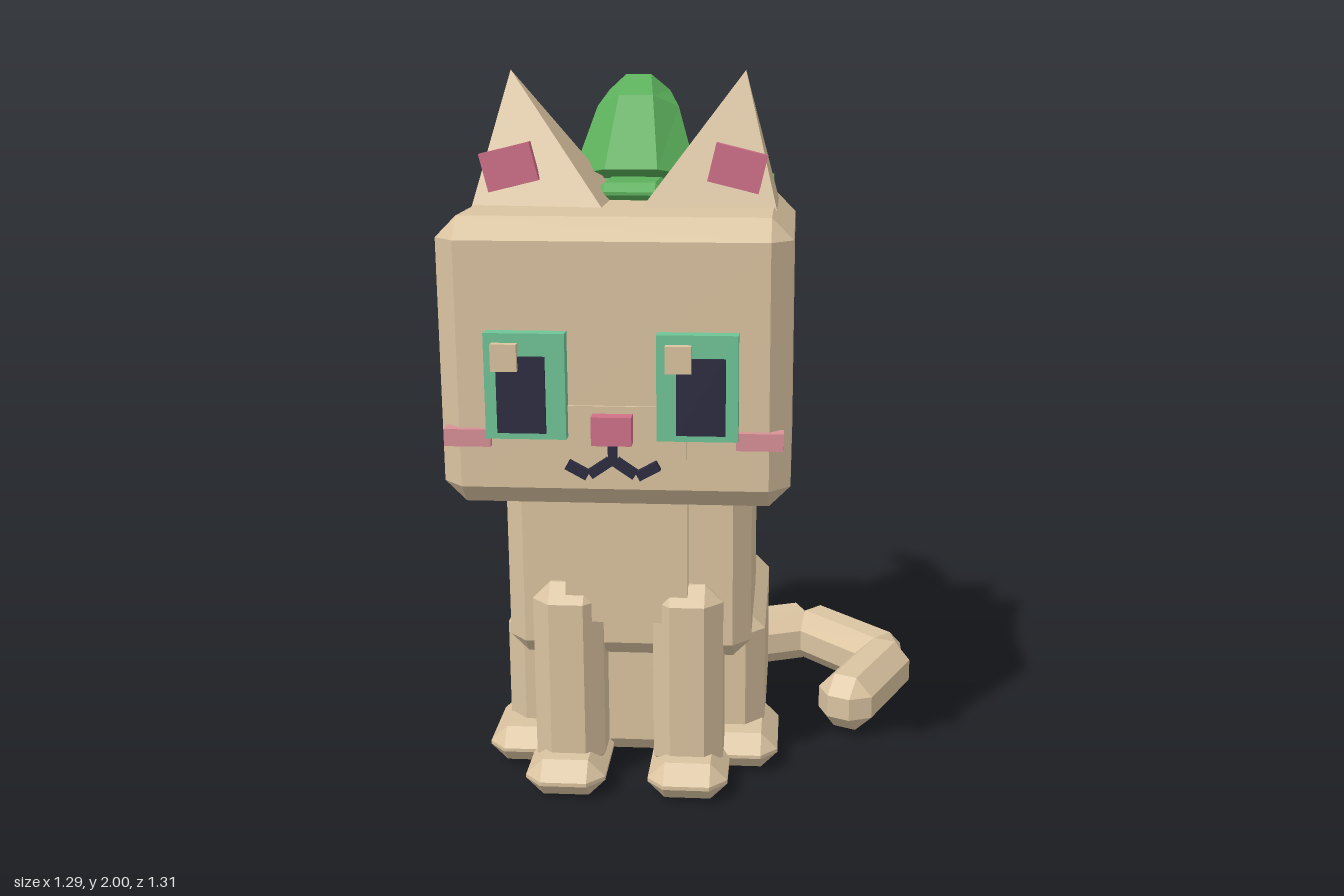
import * as THREE from 'three';
import { ConvexGeometry } from 'three/addons/geometries/ConvexGeometry.js';

const CX = -0.19; // the cat's own centre line; the tail curls out to +x

function material(name, color) {
  const m = new THREE.MeshStandardMaterial({ color, flatShading: true });
  m.name = name;
  return m;
}

// Box with all edges and corners cut off
function chamferBox(w, h, d, c) {
  const pts = [];
  for (const sx of [-1, 1]) for (const sy of [-1, 1]) for (const sz of [-1, 1]) {
    for (let a = 0; a < 3; a++) {
      pts.push(new THREE.Vector3(
        sx * (w / 2 - (a === 0 ? 0 : c)),
        sy * (h / 2 - (a === 1 ? 0 : c)),
        sz * (d / 2 - (a === 2 ? 0 : c))));
    }
  }
  return new ConvexGeometry(pts);
}

// Rings in the yz plane [y, z, radius, tilt] joined into a bent, capped cone
function bentCone(rings, sides) {
  const pos = [];
  const at = (k, i) => {
    const [y, z, r, t] = rings[k];
    const a = (i / sides) * Math.PI * 2 + Math.PI / sides;
    const f = r * Math.cos(a);
    return [r * Math.sin(a), y + f * Math.sin(t), z + f * Math.cos(t)];
  };
  const last = rings.length - 1;
  for (let i = 0; i < sides; i++) {
    for (let k = 0; k < last; k++) {
      const a = at(k, i), b = at(k, i + 1), c = at(k + 1, i + 1), d = at(k + 1, i);
      pos.push(...a, ...b, ...c, ...a, ...c, ...d);
    }
    pos.push(0, rings[0][0], rings[0][1], ...at(0, i + 1), ...at(0, i));
    pos.push(0, rings[last][0], rings[last][1], ...at(last, i), ...at(last, i + 1));
  }
  const g = new THREE.BufferGeometry();
  g.setAttribute('position', new THREE.Float32BufferAttribute(pos, 3));
  g.computeVertexNormals();
  return g;
}

export function createModel() {
  const tan = material('tan fur', 0xdac3a0);
  const green = material('hat green', 0x5cb05c);
  const darkGreen = material('dark green trim', 0x34714a);
  const teal = material('teal iris', 0x6fc497);
  const dark = material('dark navy', 0x2c2c40);
  const pink = material('pink', 0xcf7088);
  const blush = material('pale pink blush', 0xd79096);
  const gold = material('gold', 0xd0a03c);

  const model = new THREE.Group();
  model.name = 'cat';
  const cat = new THREE.Group();
  cat.name = 'catBody';
  cat.position.x = CX;
  model.add(cat);

  const add = (name, geo, mat, x = 0, y = 0, z = 0, parent = cat) => {
    const m = new THREE.Mesh(geo, mat);
    m.name = name;
    m.position.set(x, y, z);
    parent.add(m);
    return m;
  };
  // Box given by its limits; a chamfer of 0 gives a plain box
  const block = (name, mat, x0, x1, y0, y1, z0, z1, c = 0) => {
    const w = x1 - x0, h = y1 - y0, d = z1 - z0;
    const geo = c ? chamferBox(w, h, d, c) : new THREE.BoxGeometry(w, h, d);
    return add(name, geo, mat, (x0 + x1) / 2, (y0 + y1) / 2, (z0 + z1) / 2);
  };

  // Head and body
  block('head', tan, -0.45, 0.45, 0.91, 1.655, -0.15, 0.577, 0.055);
  block('torso', tan, -0.343, 0.343, 0.378, 1.08, -0.235, 0.308, 0.05);
  block('chest', tan, -0.17, 0.17, 0.505, 1.0, 0.2, 0.345);
  block('haunches', tan, -0.38, 0.38, 0.005, 0.457, -0.463, 0.165, 0.055);
  block('muzzle', tan, -0.187, 0.187, 0.985, 1.185, 0.56, 0.584);

  // Legs, feet, ears, eyes and cheeks on both sides
  for (const s of [-1, 1]) {
    const side = s < 0 ? 'right' : 'left';
    const pair = (name, mat, x0, x1, ...rest) =>
      block(side + name, mat, Math.min(s * x0, s * x1), Math.max(s * x0, s * x1), ...rest);

    pair('FrontLeg', tan, 0.07, 0.267, 0.04, 0.61, 0.17, 0.367, 0.05);
    pair('FrontFoot', tan, 0.06, 0.285, 0.005, 0.112, 0.15, 0.455, 0.048);
    pair('BackFoot', tan, 0.2, 0.422, 0.012, 0.118, -0.05, 0.268, 0.048);

    const ear = [
      [0.415, 1.6, -0.02], [0.415, 1.6, 0.32], [0.045, 1.645, 0.34],
      [0.045, 1.645, -0.02], [0.315, 2.0, 0.15],
    ].map(([x, y, z]) => new THREE.Vector3(s * x, y, z));
    add(side + 'Ear', new ConvexGeometry(ear), tan);
    const inner = add(side + 'InnerEar', new THREE.BoxGeometry(0.138, 0.102, 0.03), pink, s * 0.3, 1.755, 0.29);
    inner.rotation.z = -s * 0.24;

    pair('Eye', teal, 0.114, 0.318, 1.105, 1.376, 0.56, 0.617);
    pair('Pupil', dark, 0.164, 0.287, 1.122, 1.318, 0.617, 0.625);
    pair('Cheek', blush, 0.312, 0.432, 1.077, 1.122, 0.55, 0.595);

    // Curled mouth halves, each of two short strokes
    for (const [x, y, turn] of [[0.033, 1.028, -0.6], [0.09, 1.022, 0.5]]) {
      const stroke = add(side + 'MouthStroke', new THREE.BoxGeometry(0.06, 0.025, 0.02), dark, s * x, y, 0.598);
      stroke.rotation.z = s * turn;
    }
  }

  // Eye highlights sit on the same side of each eye
  for (const x of [-0.297, 0.137]) {
    block('eyeHighlight', tan, x, x + 0.066, 1.283, 1.352, 0.61, 0.64);
  }
  block('nose', pink, -0.051, 0.051, 1.092, 1.166, 0.575, 0.625);
  block('mouthLine', dark, -0.011, 0.011, 1.035, 1.095, 0.585, 0.608);

  // Tail: three chamfered links lying on the ground [x, z, direction x, direction z, length]
  const links = [
    [0.155, -0.53, 0.93, -0.36, 0.4],
    [0.45, -0.462, 0.71, 0.71, 0.42],
    [0.5, -0.167, -0.42, 0.91, 0.42],
  ];
  for (const [x, z, dx, dz, len] of links) {
    const link = add('tailLink', chamferBox(len, 0.172, 0.175, 0.052), tan, x, 0.111, z, model);
    link.rotation.y = Math.atan2(-dz, dx);
  }

  // Hat: brim, front tongue, drooping cone and bell
  block('hatBrim', green, -0.335, 0.338, 1.645, 1.695, -0.16, 0.01, 0.02);
  block('hatBrimFront', green, -0.092, 0.095, 1.645, 1.702, -0.05, 0.172, 0.024);
  add('hatCone', bentCone([
    [1.69, -0.06, 0.19, 0.25],
    [1.87, -0.14, 0.125, 0.5],
    [1.905, -0.165, 0.094, 1.05],
    [1.917, -0.315, 0.036, 1.9],
    [1.81, -0.42, 0.01, 2.4],
  ], 8), green);
  add('hatBell', new THREE.IcosahedronGeometry(0.05, 0), gold, 0, 1.78, -0.435);

  // Neck flap behind the head with a toothed hem
  block('hatFlap', green, -0.384, 0.386, 1.34, 1.695, -0.215, -0.15);
  for (let i = 0; i < 4; i++) {
    const tooth = add('flapTooth', new THREE.BoxGeometry(0.118, 0.118, 0.06), darkGreen, -0.288 + i * 0.192, 1.345, -0.196);
    tooth.rotation.z = Math.PI / 4;
  }
  return model;
}
